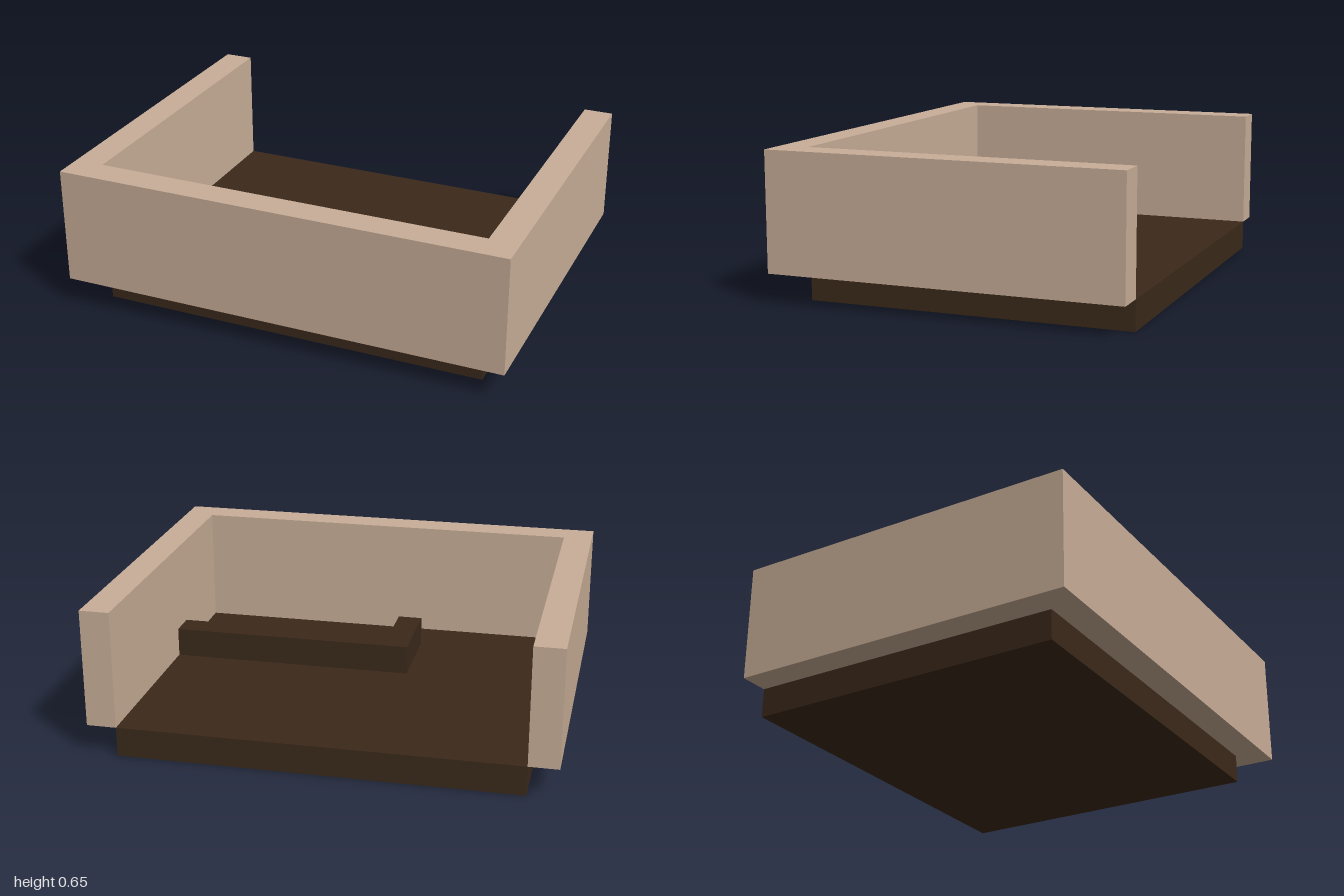
import * as THREE from 'three';

const plaster = new THREE.MeshStandardMaterial({ color: 0xc9ae98 });
const wood = new THREE.MeshStandardMaterial({ color: 0x3b291a });

// Extrude a plan outline of [x, z] points upward from y0 to y1
function slab(name, points, y0, y1, material) {
  const shape = new THREE.Shape(points.map(([x, z]) => new THREE.Vector2(x, -z)));
  const geometry = new THREE.ExtrudeGeometry(shape, { depth: y1 - y0, bevelEnabled: false });
  geometry.rotateX(-Math.PI / 2);
  geometry.translate(0, y0, 0);
  const mesh = new THREE.Mesh(geometry, material);
  mesh.name = name;
  return mesh;
}

export function createModel() {
  const group = new THREE.Group();
  group.name = 'openRoom';

  const back = -0.775, front = 0.775, outer = 1, inner = 0.87, innerFront = 0.645;
  const floorTop = 0.13, wallTop = 0.648, ledgeTop = 0.26;

  // Floor slab, flush with the open back
  group.add(slab('floor', [
    [-inner, innerFront], [inner, innerFront], [inner, back], [-inner, back],
  ], 0, floorTop, wood));

  // U-shaped wall around the front and both sides
  group.add(slab('walls', [
    [-outer, front], [outer, front], [outer, back], [inner, back],
    [inner, innerFront], [-inner, innerFront], [-inner, back], [-outer, back],
  ], floorTop, wallTop, plaster));

  // Low L-shaped ledge running out from the left wall
  group.add(slab('ledge', [
    [-0.225, 0.45], [-0.115, 0.45], [-0.115, 0.19],
    [inner, 0.19], [inner, 0.065], [-0.225, 0.065],
  ], floorTop, ledgeTop, wood));

  return group;
}
